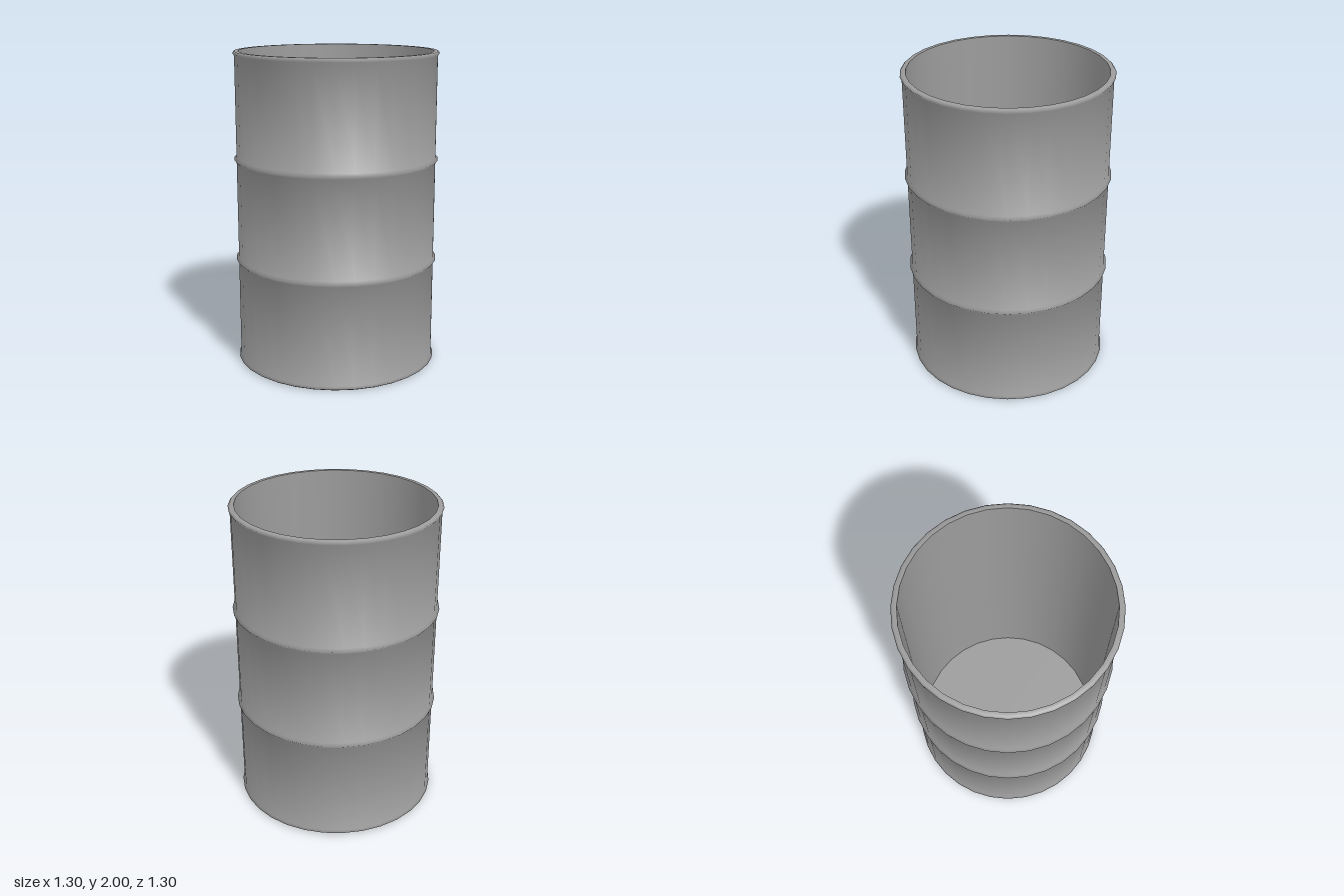
import * as THREE from 'three';

const SIDES = 32;
const WALL = 0.635, RIM = 0.645, RIB = 0.65, INNER = 0.61, BASE = 0.63, FLOOR = 0.02;

// Revolve a profile of [radius, height] points, with smooth normals that weigh
// the segments on both sides of a point equally, so long walls shade softly
function revolve(profile) {
  const points = profile.map(([r, y]) => new THREE.Vector2(r, y));
  const facing = points.slice(1).map((p, i) =>
    new THREE.Vector2(p.y - points[i].y, points[i].x - p.x).normalize());
  const blended = points.map((_, i) =>
    (facing[i - 1] ?? facing[i]).clone().add(facing[i] ?? facing[i - 1]).normalize());

  const geometry = new THREE.LatheGeometry(points, SIDES);
  const normal = geometry.attributes.normal;
  for (let i = 0; i < normal.count; i++) {
    const angle = Math.floor(i / points.length) * Math.PI * 2 / SIDES;
    const n = blended[i % points.length];
    normal.setXYZ(i, n.x * Math.sin(angle), n.y, n.x * Math.cos(angle));
  }
  return geometry;
}

// Raised rolling hoop at height y
const rib = (y) => [[WALL, y - 0.017], [RIB, y], [WALL, y + 0.017]];

export function createModel() {
  const drum = new THREE.Group();
  drum.name = 'drum';
  const material = new THREE.MeshStandardMaterial({ color: 0x9c9c9c });

  const parts = {
    // Outer wall with flared rims, two hoops and the rolled top lip
    outerWall: [
      [BASE, 0], [RIM, 0.01], [WALL, 0.025],
      ...rib(0.675), ...rib(1.325),
      [WALL, 1.975], [RIM, 1.99], [RIM - 0.01, 2], [INNER, 2],
    ],
    // Inside of the open barrel
    innerWall: [[INNER, 2], [INNER, FLOOR]],
    floor: [[INNER, FLOOR], [0, FLOOR]],
    // Underside
    base: [[0, 0], [BASE, 0]],
  };

  for (const [name, profile] of Object.entries(parts)) {
    const mesh = new THREE.Mesh(revolve(profile), material);
    mesh.name = name;
    drum.add(mesh);
  }
  return drum;
}
